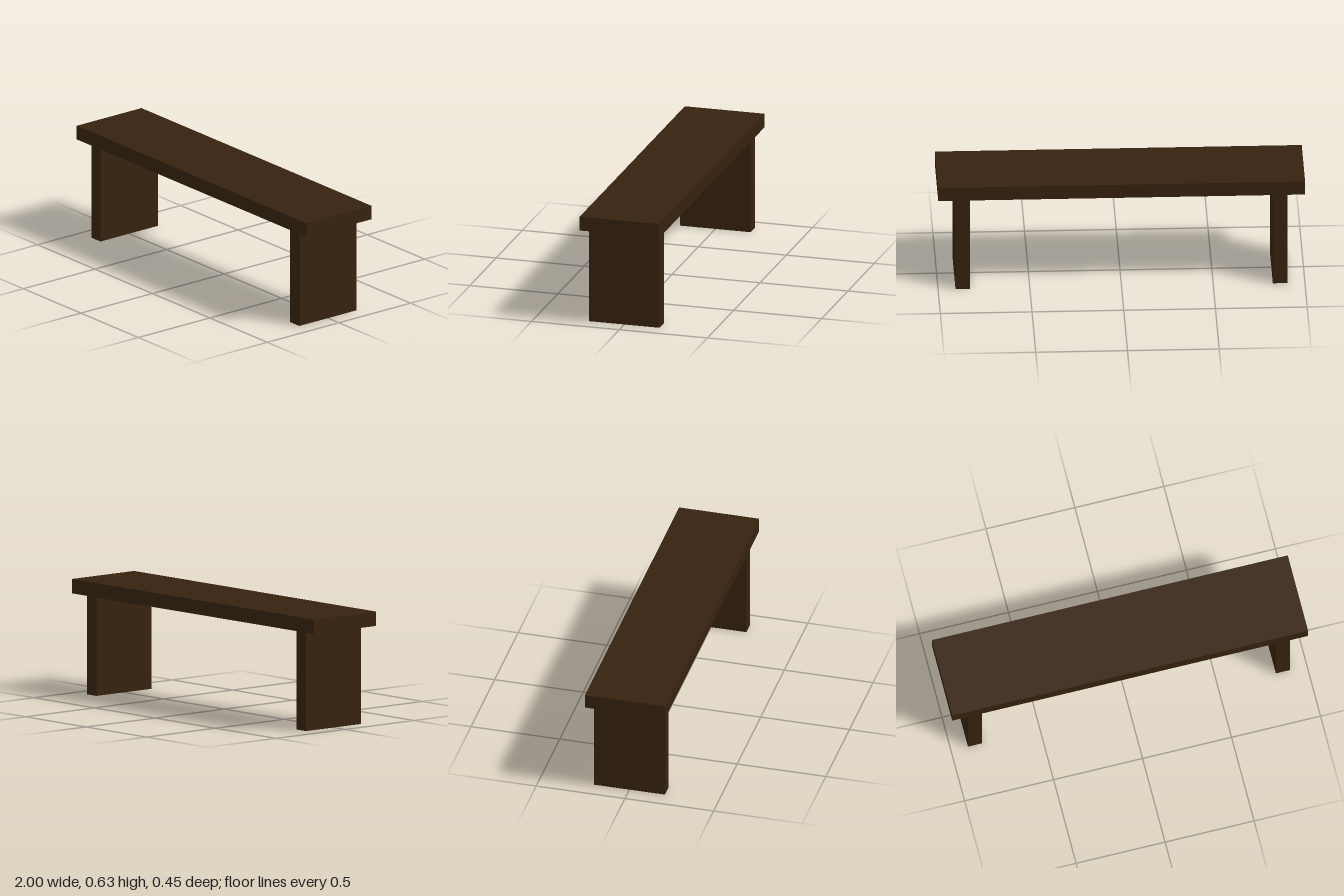
import * as THREE from 'three';

const SEAT = { width: 2, height: 0.079, depth: 0.452, bottom: 0.548 };
const LEG = { width: 0.08, depth: 0.4, x: 0.865 };

// Four-walled upright, open at the top and bottom
function openBox(w, h, d) {
  const geometry = new THREE.BoxGeometry(w, h, d);
  const index = Array.from(geometry.index.array);
  index.splice(12, 12); // drop the top and bottom faces
  geometry.setIndex(index);
  geometry.clearGroups();
  return geometry;
}

export function createModel() {
  const group = new THREE.Group();
  group.name = 'bench';

  const darkWood = new THREE.MeshStandardMaterial({ color: 0x36220e, side: THREE.DoubleSide });
  darkWood.name = 'dark wood';

  // Seat plank
  const seat = new THREE.Mesh(new THREE.BoxGeometry(SEAT.width, SEAT.height, SEAT.depth), darkWood);
  seat.name = 'seat';
  seat.position.y = SEAT.bottom + SEAT.height / 2;
  group.add(seat);

  // Hollow slab legs
  const legGeometry = openBox(LEG.width, SEAT.bottom, LEG.depth);
  for (const side of [-1, 1]) {
    const leg = new THREE.Mesh(legGeometry, darkWood);
    leg.name = side > 0 ? 'leftLeg' : 'rightLeg';
    leg.position.set(side * LEG.x, SEAT.bottom / 2, 0);
    group.add(leg);
  }

  return group;
}
